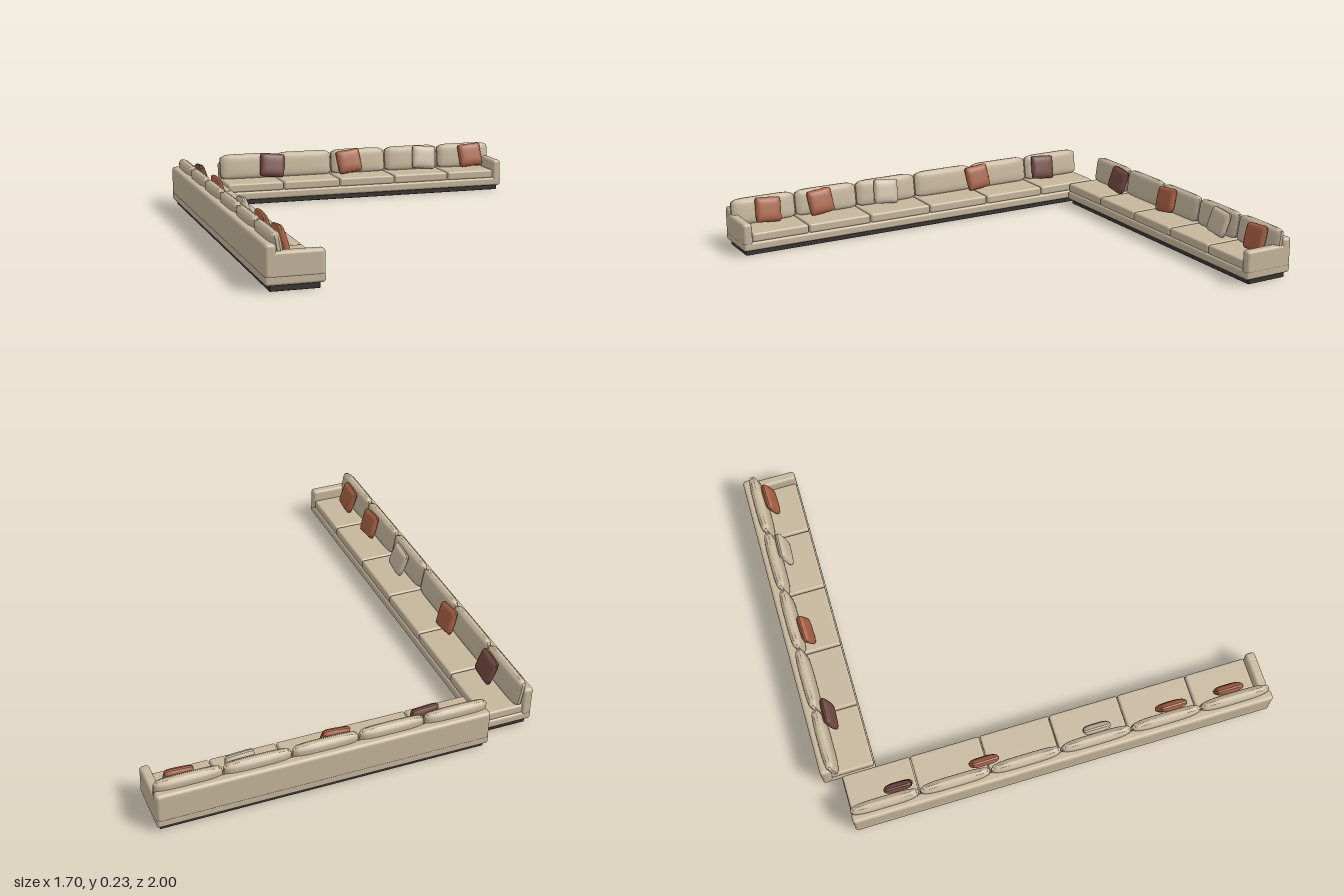
import * as THREE from 'three';
import { RoundedBoxGeometry } from 'three/addons/geometries/RoundedBoxGeometry.js';

const material = (name, color) => {
  const m = new THREE.MeshStandardMaterial({ color });
  m.name = name;
  return m;
};

// Rounded block given by its lower and upper bounds
function block(name, mat, [x0, x1], [y0, y1], [z0, z1], radius) {
  const geo = new RoundedBoxGeometry(x1 - x0, y1 - y0, z1 - z0, 4, radius);
  const mesh = new THREE.Mesh(geo, mat);
  mesh.name = name;
  mesh.position.set((x0 + x1) / 2, (y0 + y1) / 2, (z0 + z1) / 2);
  return mesh;
}

// Stuffed cushion: thick in the middle, pinched at the rim, soft corners
function puff(w, h, d, pinch, round) {
  const geo = new THREE.BoxGeometry(w, h, d, 24, 16, 2);
  const p = geo.attributes.position;
  for (let i = 0; i < p.count; i++) {
    const u = p.getX(i) / (w / 2), v = p.getY(i) / (h / 2);
    const fill = Math.sqrt(Math.max(0, (1 - u ** 4) * (1 - v ** 4)));
    p.setXYZ(i,
      p.getX(i) - Math.sign(u) * round * Math.abs(u) ** 8 * v ** 8,
      p.getY(i) - Math.sign(v) * round * Math.abs(v) ** 8 * u ** 8,
      p.getZ(i) * (pinch + (1 - pinch) * fill));
  }
  geo.computeVertexNormals();
  return geo;
}

// Sofa run along x with its back at z = 0 and its front at z = depth
function sofa(name, mats, { x0, x1, depth, seats, backs, arm, pillows }) {
  const g = new THREE.Group();
  g.name = name;
  const { fabric, plinth } = mats;

  g.add(block('plinth', plinth, [x0 + 0.015, x1 - 0.015], [0, 0.028], [0.02, depth - 0.02], 0.003));
  g.add(block('base', fabric, [x0, x1], [0.024, 0.066], [0, depth], 0.012));
  g.add(block('backrest', fabric, [x0, x1], [0.05, 0.187], [0, 0.047], 0.015));
  g.add(block('armrest', fabric, arm, [0.05, 0.157], [0.002, depth], 0.014));

  // Seat cushions
  for (let i = 0; i + 1 < seats.length; i++) {
    g.add(block('seatCushion', fabric, [seats[i] + 0.002, seats[i + 1] - 0.002],
      [0.064, 0.107], [0.04, depth - 0.005], 0.01));
  }

  // Back cushions lean on the backrest
  for (let i = 0; i + 1 < backs.length; i++) {
    const w = backs[i + 1] - backs[i] - 0.006;
    const mesh = new THREE.Mesh(puff(w, 0.128, 0.052, 0.25, 0.012), fabric);
    mesh.name = 'backCushion';
    mesh.position.set((backs[i] + backs[i + 1]) / 2, 0.164, 0.057);
    mesh.rotation.x = -0.15;
    g.add(mesh);
  }

  // Loose pillows: position, tilt, colour
  for (const [x, tilt, key] of pillows) {
    const mesh = new THREE.Mesh(puff(0.124, 0.118, 0.04, 0.2, 0.004), mats[key]);
    mesh.name = key + 'Pillow';
    mesh.position.set(x, 0.171, 0.105);
    mesh.rotation.set(-0.28, 0, tilt);
    g.add(mesh);
  }
  return g;
}

export function createModel() {
  const mats = {
    fabric: material('beige fabric', 0xc6b69c),
    beige: material('pale pillow', 0xc9baa2),
    rust: material('rust pillow', 0xa55f42),
    brown: material('dark brown pillow', 0x704840),
    plinth: material('dark plinth', 0x3a3431),
  };
  const model = new THREE.Group();
  model.name = 'cornerSofa';

  // Run across the rear, armrest on its left end
  const rear = sofa('rearSofa', mats, {
    x0: -0.605, x1: 0.847, depth: 0.24,
    seats: [-0.603, -0.317, -0.026, 0.265, 0.556, 0.807],
    backs: [-0.605, -0.317, -0.026, 0.265, 0.556, 0.845],
    arm: [0.805, 0.847],
    pillows: [[-0.345, -0.1, 'brown'], [0.06, 0.12, 'rust'],
      [0.467, -0.1, 'beige'], [0.727, 0.07, 'rust']],
  });
  rear.position.z = -1;
  model.add(rear);

  // Run along the side, turned to face inward, armrest at the front
  const side = sofa('sideSofa', mats, {
    x0: -0.997, x1: 0.918, depth: 0.24,
    seats: [-0.953, -0.67, -0.351, -0.031, 0.289, 0.608, 0.916],
    backs: [-0.99, -0.67, -0.351, -0.031, 0.289, 0.608, 0.918],
    arm: [-0.997, -0.952],
    pillows: [[-0.822, -0.08, 'rust'], [-0.555, 0.1, 'rust'], [-0.21, -0.1, 'beige'],
      [0.305, 0.1, 'rust'], [0.69, -0.08, 'brown']],
  });
  side.rotation.y = Math.PI / 2;
  side.position.x = -0.85;
  model.add(side);
  return model;
}
